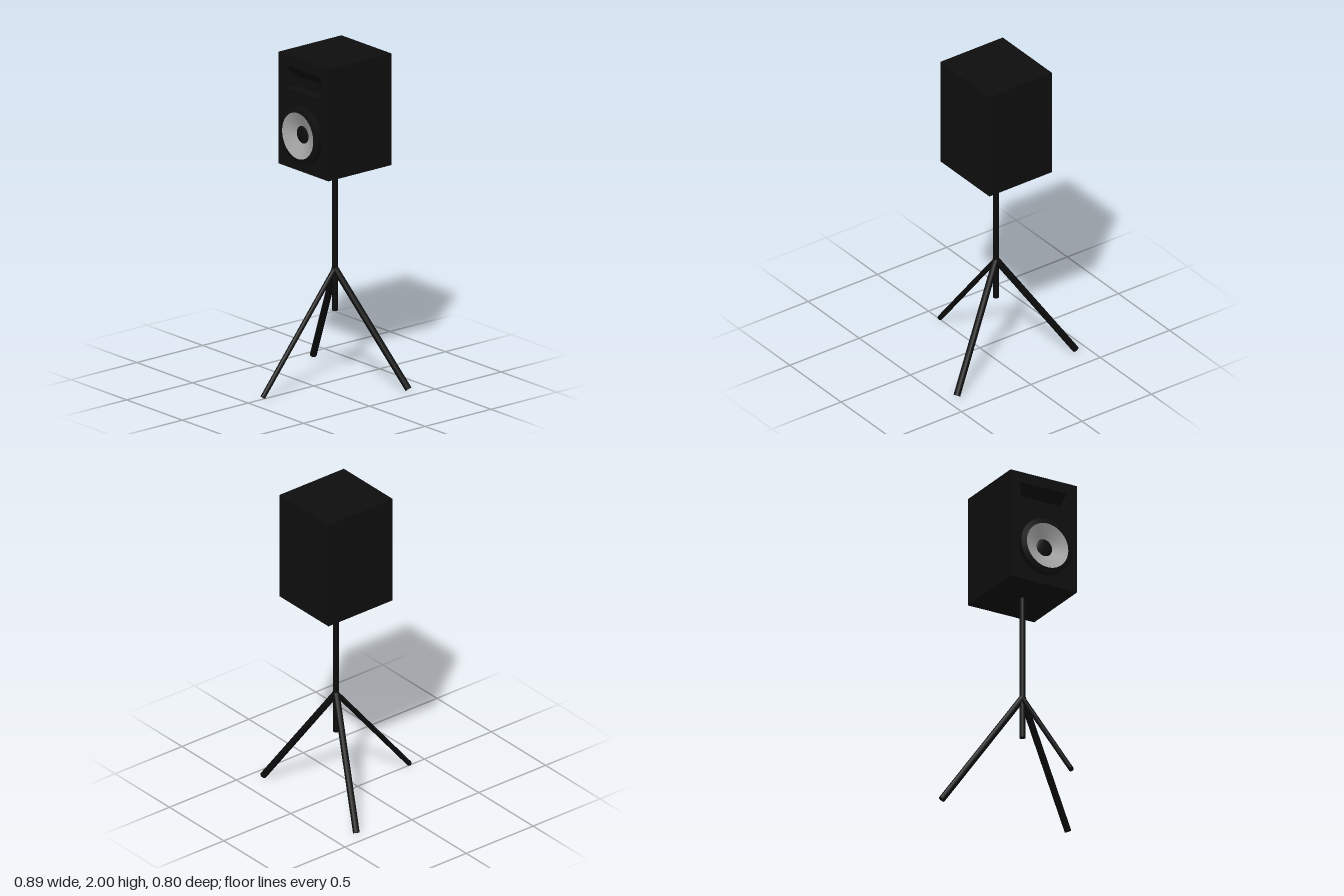
import * as THREE from 'three';

const paint = (name, color, side = THREE.FrontSide) => {
  const m = new THREE.MeshStandardMaterial({ color, side });
  m.name = name;
  return m;
};

export function createModel() {
  const model = new THREE.Group();
  model.name = 'speakerOnTripod';
  const black = paint('cabinetBlack', 0x0e0e0e, THREE.DoubleSide);
  const standBlack = paint('standBlack', 0x0c0c0c);
  const silver = paint('coneSilver', 0xa6a6a6, THREE.DoubleSide);

  const add = (name, geometry, material, x = 0, y = 0, z = 0, parent = model) => {
    const mesh = new THREE.Mesh(geometry, material);
    mesh.name = name;
    mesh.position.set(x, y, z);
    parent.add(mesh);
    return mesh;
  };

  // Round bar between two points
  const bar = (name, a, b, radius) => {
    const from = new THREE.Vector3(...a), to = new THREE.Vector3(...b);
    const dir = to.clone().sub(from);
    const mesh = add(name, new THREE.CylinderGeometry(radius, radius, dir.length(), 12), standBlack);
    mesh.position.copy(from).add(to).multiplyScalar(0.5);
    mesh.quaternion.setFromUnitVectors(new THREE.Vector3(0, 1, 0), dir.normalize());
  };

  // Cabinet: solid body plus a front baffle with the horn opening
  const cabinet = new THREE.Group();
  cabinet.name = 'cabinet';
  model.add(cabinet);
  add('cabinetBody', new THREE.BoxGeometry(0.45, 0.68, 0.43), black, 0, 1.66, -0.185, cabinet);

  const outline = (x, y0, y1) => [[-x, y0], [x, y0], [x, y1], [-x, y1]];
  const mouth = outline(0.157, 1.8, 1.935);
  const throat = outline(0.142, 1.81, 1.87);
  const baffle = new THREE.Shape(outline(0.225, 1.32, 2).map(p => new THREE.Vector2(...p)));
  baffle.holes.push(new THREE.Path([...mouth, mouth[0]].map(p => new THREE.Vector2(...p))));
  add('frontBaffle', new THREE.ExtrudeGeometry(baffle, { depth: 0.05, bevelEnabled: false }),
    black, 0, 0, 0.03, cabinet);

  // Horn: four sloping walls from the mouth back to the throat
  const walls = [];
  for (let i = 0; i < 4; i++) {
    const j = (i + 1) % 4;
    const a = [...mouth[i], 0.08], b = [...mouth[j], 0.08];
    const c = [...throat[j], 0.032], d = [...throat[i], 0.032];
    walls.push(...a, ...b, ...c, ...a, ...c, ...d);
  }
  const horn = new THREE.BufferGeometry();
  horn.setAttribute('position', new THREE.Float32BufferAttribute(walls, 3));
  horn.computeVertexNormals();
  add('hornWalls', horn, black, 0, 0, 0, cabinet);

  // Woofer: chamfered surround, recessed cone and domed centre cap
  const woofer = new THREE.Group();
  woofer.name = 'woofer';
  woofer.position.set(0, 1.55, 0.08);
  woofer.rotation.x = Math.PI / 2;
  model.add(woofer);
  const lathe = (name, points, material) => add(name,
    new THREE.LatheGeometry(points.map(p => new THREE.Vector2(...p)), 40), material, 0, 0, 0, woofer);
  lathe('surroundSide', [[0.172, 0], [0.172, 0.034]], black);
  lathe('surroundChamfer', [[0.172, 0.034], [0.14, 0.043]], black);
  lathe('speakerCone', [[0.14, 0.043], [0.05, 0.004]], silver);
  lathe('centreCap', [[0.053, 0.005], [0.045, 0.01], [0.025, 0.014], [0, 0.016]], black);

  // Stand: centre pole and three legs
  bar('centrePole', [0, 0.43, -0.16], [0, 1.33, -0.16], 0.018);
  bar('frontLeg', [0, 0.685, -0.16], [0, 0.0115, 0.388], 0.0152);
  for (const side of [-1, 1]) {
    bar(side > 0 ? 'leftRearLeg' : 'rightRearLeg',
      [0, 0.685, -0.16], [side * 0.428, 0.012, -0.357], 0.02);
  }
  return model;
}
